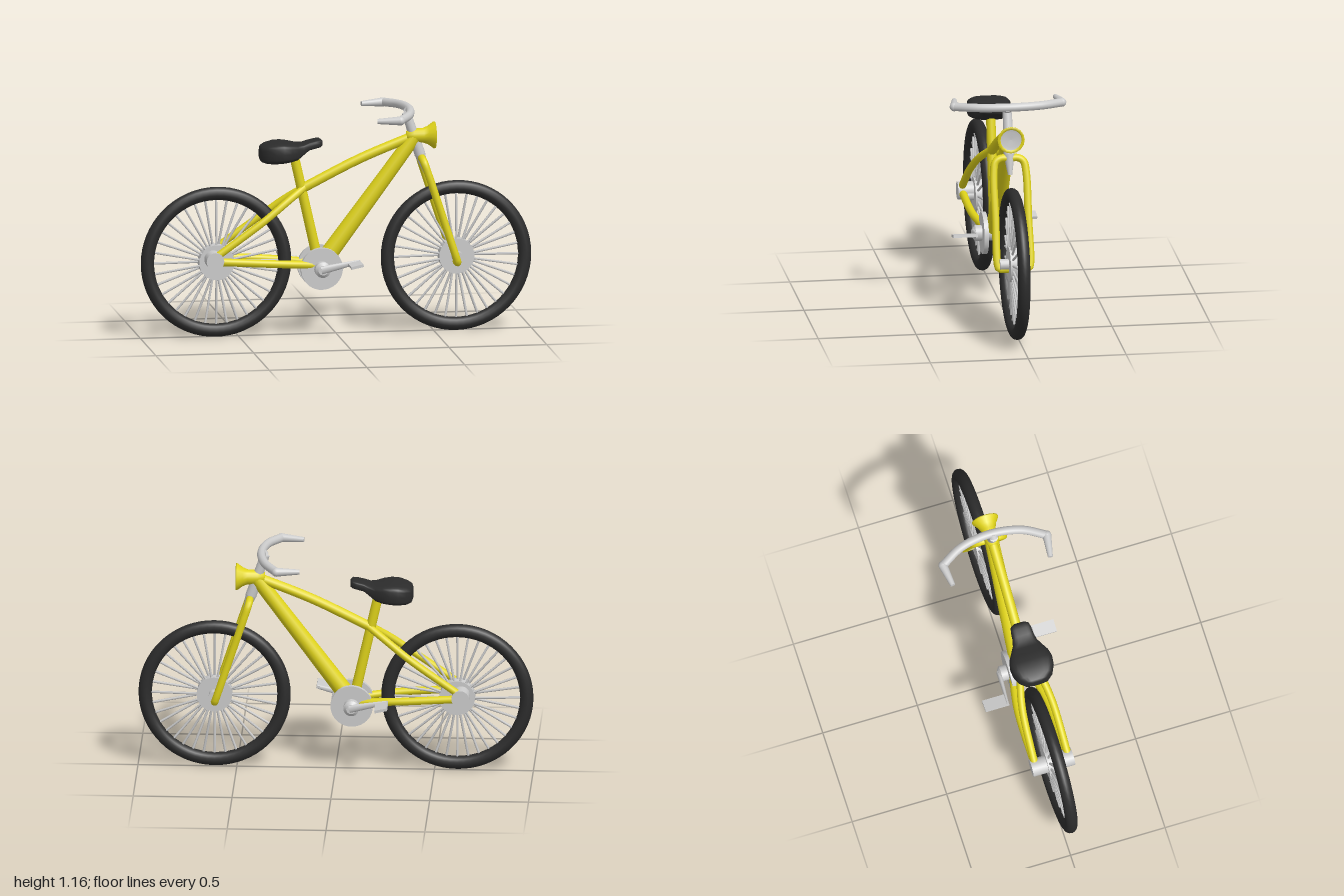
import * as THREE from 'three';

const V = (x, y, z = 0) => new THREE.Vector3(x, y, z);
const yellow = new THREE.MeshStandardMaterial({ color: 0xe0d41a });
const black = new THREE.MeshStandardMaterial({ color: 0x2c2c2c });
const grey = new THREE.MeshStandardMaterial({ color: 0xcccccc });

function add(parent, name, geometry, material) {
  const mesh = new THREE.Mesh(geometry, material);
  mesh.name = name;
  parent.add(mesh);
  return mesh;
}

// Straight round bar from a to b, optionally tapered
function rod(parent, name, a, b, ra, rb, material, sides = 16) {
  const dir = b.clone().sub(a);
  const mesh = add(parent, name, new THREE.CylinderGeometry(rb, ra, dir.length(), sides), material);
  mesh.position.copy(a).add(b).multiplyScalar(0.5);
  mesh.quaternion.setFromUnitVectors(V(0, 1, 0), dir.normalize());
  return mesh;
}

function tube(parent, name, points, r, material, closed = false) {
  const curve = new THREE.CatmullRomCurve3(points, closed, 'centripetal');
  return add(parent, name, new THREE.TubeGeometry(curve, closed ? 120 : 40, r, 12, closed), material);
}

function ball(parent, name, p, r, material) {
  add(parent, name, new THREE.SphereGeometry(r, 16, 10), material).position.copy(p);
}

function makeWheel(name, x) {
  const wheel = new THREE.Group();
  wheel.name = name;
  wheel.position.set(x, 0.386, 0);
  const tire = add(wheel, 'tire', new THREE.TorusGeometry(0.351, 0.034, 14, 64), black);
  tire.scale.z = 0.93;
  rod(wheel, 'hub', V(0, 0, -0.03), V(0, 0, 0.03), 0.09, 0.09, grey, 32);
  rod(wheel, 'axle', V(0, 0, -0.075), V(0, 0, 0.075), 0.028, 0.028, grey);
  const count = 36;
  for (let i = 0; i < count; i++) {
    const a = (i / count) * Math.PI * 2, z = i % 2 ? 0.018 : -0.018;
    const c = Math.cos(a), s = Math.sin(a);
    rod(wheel, 'spoke', V(0.08 * c, 0.08 * s, z), V(0.325 * c, 0.325 * s, 0), 0.0065, 0.0065, grey, 6);
  }
  return wheel;
}

// Saddle lofted through rounded cross-sections: [x, top, bottom, halfWidth]
function saddleGeometry() {
  const rows = [
    [-0.392, 0.96, 0.91, 0.03], [-0.385, 0.975, 0.895, 0.06], [-0.36, 0.985, 0.888, 0.089],
    [-0.32, 0.994, 0.887, 0.108], [-0.28, 0.996, 0.89, 0.112], [-0.24, 0.991, 0.895, 0.102],
    [-0.205, 0.984, 0.903, 0.082], [-0.175, 0.984, 0.925, 0.064], [-0.145, 0.994, 0.949, 0.056],
    [-0.11, 1.002, 0.958, 0.054], [-0.087, 1.005, 0.963, 0.048], [-0.075, 0.998, 0.97, 0.032],
  ];
  const n = 24, pos = [], index = [];
  const soft = (v) => Math.sign(v) * Math.pow(Math.abs(v), 0.5);
  for (const [x, top, bottom, w] of rows)
    for (let j = 0; j < n; j++) {
      const a = (j / n) * Math.PI * 2;
      pos.push(x, (top + bottom) / 2 + soft(Math.sin(a)) * (top - bottom) / 2, soft(Math.cos(a)) * w);
    }
  for (let i = 0; i < rows.length - 1; i++)
    for (let j = 0; j < n; j++) {
      const a = i * n + j, b = i * n + (j + 1) % n;
      index.push(a, a + n, b, b, a + n, b + n);
    }
  // End caps
  const last = (rows.length - 1) * n;
  for (let j = 1; j < n - 1; j++) {
    index.push(0, j, j + 1);
    index.push(last, last + j + 1, last + j);
  }
  const g = new THREE.BufferGeometry();
  g.setAttribute('position', new THREE.Float32BufferAttribute(pos, 3));
  g.setIndex(index);
  g.computeVertexNormals();
  return g;
}

function makeFrame() {
  const frame = new THREE.Group();
  frame.name = 'frame';
  rod(frame, 'downTube', V(-0.065, 0.375), V(0.4, 1.0), 0.045, 0.036, yellow, 20);
  rod(frame, 'seatTube', V(-0.09, 0.36), V(-0.218, 0.93), 0.026, 0.024, yellow);
  tube(frame, 'topTube', [V(0.41, 1.01), V(0.12, 0.895), V(-0.175, 0.75)], 0.025, yellow);
  for (const s of [-1, 1]) {
    tube(frame, 'seatStay', [V(-0.15, 0.765, 0), V(-0.26, 0.69, s * 0.05), V(-0.38, 0.6, s * 0.078),
      V(-0.635, 0.42, s * 0.088)], 0.019, yellow);
    tube(frame, 'chainStay', [V(-0.09, 0.36, s * 0.04), V(-0.3, 0.378, s * 0.078),
      V(-0.63, 0.4, s * 0.086)], 0.02, yellow);
  }
  rod(frame, 'rearAxleDrum', V(-0.635, 0.405, -0.11), V(-0.635, 0.405, 0.11), 0.045, 0.045, grey, 24);
  return frame;
}

// Flared lamp at the head of the frame, facing +x
function makeLamp() {
  const lamp = new THREE.Group();
  lamp.name = 'headLamp';
  lamp.position.set(0.505, 1.006, 0);
  lamp.rotation.z = -Math.PI / 2;
  const profile = [[0, -0.15], [0.025, -0.145], [0.037, -0.11], [0.038, -0.06], [0.048, -0.035],
    [0.069, -0.006], [0.069, 0], [0.056, 0], [0.05, -0.014]].map(([r, h]) => new THREE.Vector2(r, h));
  add(lamp, 'lampShell', new THREE.LatheGeometry(profile, 16), yellow);
  const lens = [[0.056, -0.004], [0.04, -0.008], [0, -0.011]].map(([r, h]) => new THREE.Vector2(r, h));
  add(lamp, 'lampLens', new THREE.LatheGeometry(lens, 16), grey);
  return lamp;
}

function makeSteering() {
  const steering = new THREE.Group();
  steering.name = 'steering';
  // Points on the sloping steering axis
  const axis = (y, z = 0) => V(0.61 - (y - 0.36) * 0.33, y, z);
  const loop = [];
  for (const [y, z] of [[0.892, 0], [0.892, 0.045], [0.875, 0.072], [0.82, 0.083], [0.6, 0.084],
    [0.385, 0.084], [0.362, 0.076], [0.36, 0.05]]) loop.push(axis(y, z));
  loop.push(axis(0.36, 0));
  for (let i = 7; i > 0; i--) loop.push(V(loop[i].x, loop[i].y, -loop[i].z));
  tube(steering, 'fork', loop, 0.0195, yellow, true);
  rod(steering, 'steeringStem', axis(0.91), axis(1.125), 0.028, 0.023, grey);
  rod(steering, 'stemTip', axis(0.81), axis(0.91), 0.011, 0.028, grey);

  // Swept handlebar with angled grips
  const z0 = -0.015;
  tube(steering, 'handlebar', [V(0.288, 1.13, z0 - 0.275), V(0.35, 1.137, z0 - 0.16), V(0.375, 1.14, z0),
    V(0.35, 1.137, z0 + 0.16), V(0.288, 1.13, z0 + 0.275)], 0.022, grey);
  rod(steering, 'barClamp', axis(1.12), V(0.375, 1.14), 0.024, 0.024, grey);
  for (const s of [-1, 1]) {
    const corner = V(0.288, 1.13, z0 + s * 0.275);
    ball(steering, 'barCorner', corner, 0.023, grey);
    rod(steering, 'grip', corner, V(0.172, 1.127, z0 + s * 0.258), 0.023, 0.013, grey);
  }
  return steering;
}

function makeCrankset() {
  const set = new THREE.Group();
  set.name = 'crankset';
  set.position.set(-0.083, 0.345, 0);
  rod(set, 'crankAxle', V(0, 0, -0.1), V(0, 0, 0.1), 0.04, 0.04, grey, 24);
  // The second side is the first one turned half way round
  for (const turn of [0, Math.PI]) {
    const side = new THREE.Group();
    side.name = 'crankSide';
    side.rotation.y = turn;
    rod(side, 'chainDisc', V(0, 0, 0.043), V(0, 0, 0.066), 0.107, 0.107, grey, 40);
    rod(side, 'crankCap', V(0, 0, 0.1), V(0, 0, 0.112), 0.04, 0.025, grey, 24);
    const arm = rod(side, 'crankArm', V(-0.01, 0, 0.106), V(0.182, 0.042, 0.118), 0.022, 0.01, grey);
    arm.scale.z = 0.6;
    const pedal = add(side, 'pedal', new THREE.BoxGeometry(0.064, 0.014, 0.125), grey);
    pedal.position.set(0.155, 0.036, 0.174);
    pedal.rotation.z = 0.21;
    set.add(side);
  }
  return set;
}

export function createModel() {
  const bicycle = new THREE.Group();
  bicycle.name = 'bicycle';
  const body = new THREE.Group();
  body.name = 'body';
  body.position.z = 0.015;
  body.add(makeWheel('rearWheel', -0.615), makeWheel('frontWheel', 0.613));
  body.add(makeFrame(), makeLamp(), makeSteering(), makeCrankset());
  add(body, 'saddle', saddleGeometry(), black);
  bicycle.add(body);
  return bicycle;
}
